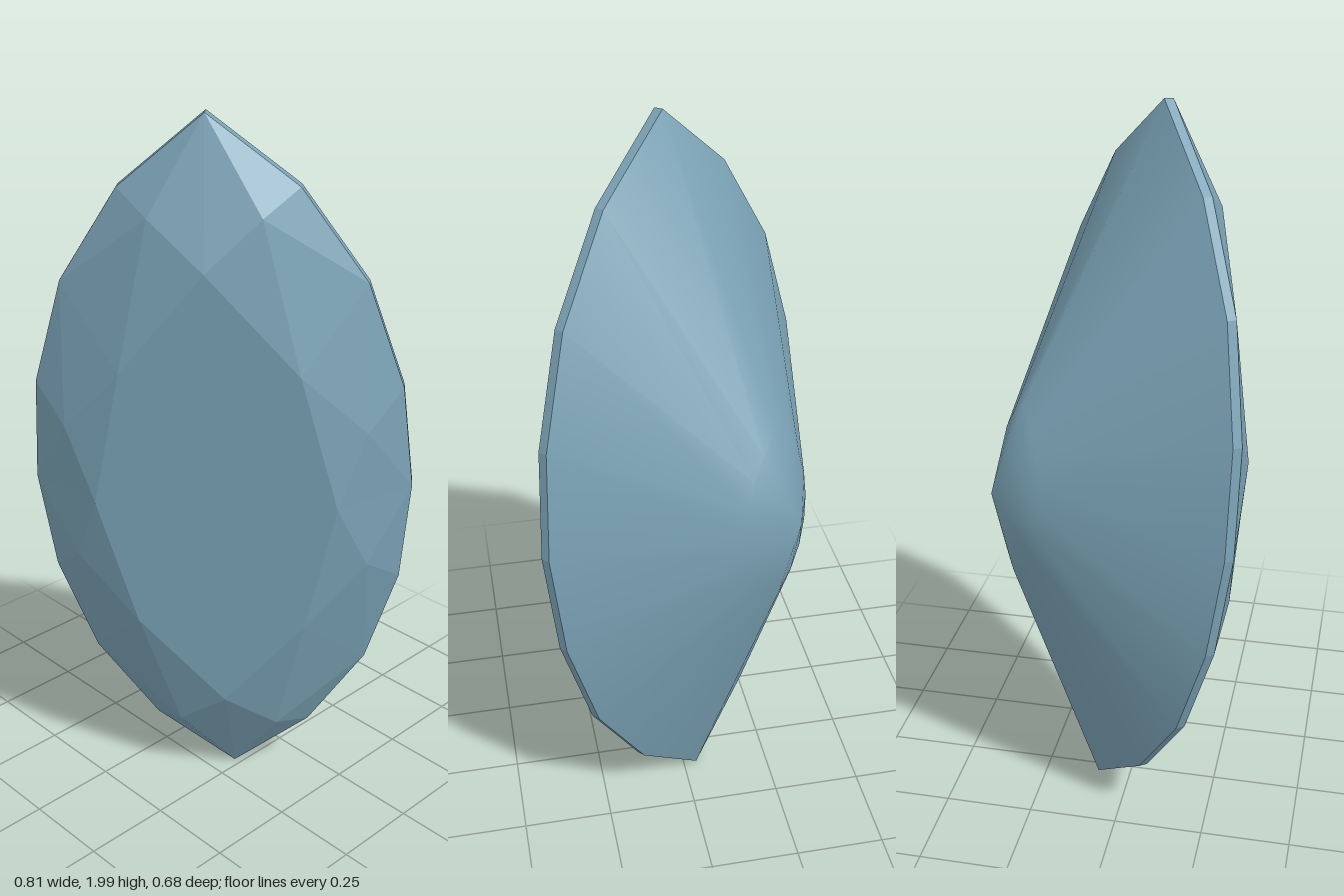
import * as THREE from 'three';

// Mirror a quarter outline [u, v] into a full anticlockwise loop at height n
function ring(quarter, n, scale = 1) {
  const half = [...quarter, ...[...quarter].reverse().map(([u, v]) => [-u, v])];
  const full = [...half, ...half.map(([u, v]) => [-u, -v])];
  return full
    .filter((p, i) => full.findIndex(q => Math.hypot(p[0] - q[0], p[1] - q[1]) < 1e-6) === i)
    .map(([u, v]) => new THREE.Vector3(u * scale, v * scale, n));
}

function surface(points, faces, flat) {
  let geo = new THREE.BufferGeometry().setFromPoints(points);
  geo.setIndex(faces.flat());
  if (flat) geo = geo.toNonIndexed();
  geo.computeVertexNormals();
  return geo;
}

// Quads between two loops of equal length, wound to face outwards
function band(lower, upper, count) {
  const faces = [];
  for (let i = 0; i < count; i++) {
    const j = (i + 1) % count;
    faces.push([lower + i, lower + j, upper + j], [lower + i, upper + j, upper + i]);
  }
  return faces;
}

export function createModel() {
  const outline = [[0.51, 0], [0.482, 0.29], [0.39, 0.575], [0.225, 0.82], [0, 1]];
  const tablePts = ring([[0.32, 0], [0.23, 0.38], [0, 0.65]], 0.15);
  const starPts = ring([[0.395, 0.2], [0.14, 0.77]], 0.098);
  const upperEdge = ring(outline, 0.013);
  const lowerEdge = ring(outline, -0.013);

  const gem = new THREE.Group();
  gem.name = 'gem';
  const color = 0x7ba3b6;
  const add = (name, geo, flatShading) => {
    const mesh = new THREE.Mesh(geo, new THREE.MeshStandardMaterial({ color, flatShading }));
    mesh.name = name;
    gem.add(mesh);
  };

  // Flat table on top
  add('table', surface(tablePts, [1, 2, 3, 4, 5, 6].map(i => [0, i, i + 1]), true), true);

  // Crown: star triangles, kites and upper girdle facets
  const crown = [];
  const T = i => i % 8, S = i => 8 + (i + 8) % 8, G = i => 16 + (i + 16) % 16;
  for (let i = 0; i < 8; i++) {
    crown.push([T(i), S(i), T(i + 1)]);
    crown.push([T(i), S(i - 1), G(2 * i)], [T(i), G(2 * i), S(i)]);
    crown.push([S(i), G(2 * i), G(2 * i + 1)], [S(i), G(2 * i + 1), G(2 * i + 2)]);
  }
  add('crown', surface([...tablePts, ...starPts, ...upperEdge], crown, true), true);

  // Thin girdle around the widest part
  add('girdle', surface([...lowerEdge, ...upperEdge], band(0, 16, 16), true), true);

  // Smooth pavilion narrowing to the point at the back
  const shoulder = ring(outline, -0.335, 0.24);
  const pavilion = band(0, 16, 16);
  for (let i = 0; i < 16; i++) pavilion.push([32, (i + 1) % 16, i]);
  add('pavilion', surface([...shoulder, ...lowerEdge, new THREE.Vector3(0, 0, -0.41)], pavilion, false), false);

  // Stand the stone on its tip, turned and leaning slightly forward
  const v = new THREE.Vector3(0.03, 1, 0.085).normalize();
  const n = new THREE.Vector3(0.63, -0.085, 0.776).normalize();
  const u = v.clone().cross(n).normalize();
  n.crossVectors(u, v);
  gem.quaternion.setFromRotationMatrix(new THREE.Matrix4().makeBasis(u, v, n));
  gem.position.y = 1;

  const model = new THREE.Group();
  model.name = 'model';
  model.add(gem);
  return model;
}
